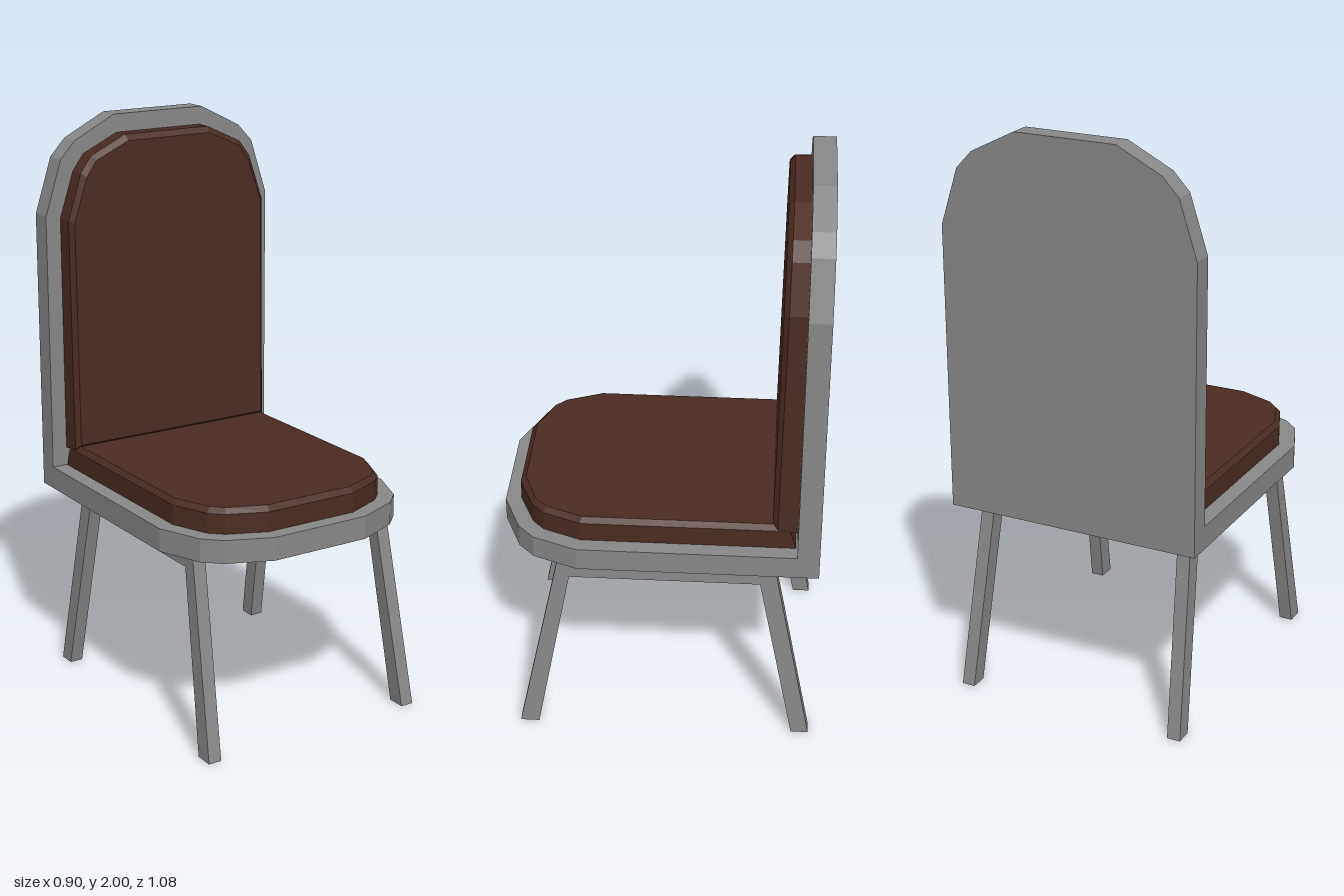
import * as THREE from 'three';

const metal = new THREE.MeshStandardMaterial({ color: 0x888888 });
metal.name = 'grey frame';
const leather = new THREE.MeshStandardMaterial({ color: 0x4a2c22 });
leather.name = 'brown upholstery';

// Symmetric outline: straight base at v0, then the right-hand points mirrored to the left
function outline(v0, right, depth) {
  const half = [[right[0][0], v0], ...right];
  const left = half.map(([x, v]) => [-x, v]).reverse();
  return [...half, ...left].map(([x, v]) => [x, v, typeof depth === 'function' ? depth(v) : depth]);
}

// Convex loops joined by side walls and closed by end caps; flat lays the panel down
function loft(loops, flat) {
  const n = loops[0].length;
  const p = loops.flat().map(([x, v, w]) => (flat ? [x, w, v] : [x, v, w]));
  const pos = [];
  const tri = (a, b, c) => pos.push(...p[a], ...(flat ? [...p[c], ...p[b]] : [...p[b], ...p[c]]));
  for (let k = 0; k < loops.length - 1; k++) {
    for (let i = 0; i < n; i++) {
      const j = (i + 1) % n;
      const a = k * n + i, b = k * n + j;
      tri(a, b, b + n);
      tri(a, b + n, a + n);
    }
  }
  const top = (loops.length - 1) * n;
  for (let i = 1; i < n - 1; i++) {
    tri(0, i + 1, i);
    tri(top, top + i, top + i + 1);
  }
  const g = new THREE.BufferGeometry();
  g.setAttribute('position', new THREE.Float32BufferAttribute(pos, 3));
  g.computeVertexNormals();
  return g;
}

// U-shaped leg pair with a top rail, splayed sideways towards the floor
function legFrame(side) {
  const shape = new THREE.Shape([
    [0.34, 0.69], [-0.395, 0.69], [-0.53, 0], [-0.47, 0],
    [-0.345, 0.63], [0.3, 0.63], [0.42, 0], [0.485, 0],
  ].map(([z, y]) => new THREE.Vector2(z, y)));
  const g = new THREE.ExtrudeGeometry(shape, { depth: 0.047, bevelEnabled: false });
  g.rotateY(-Math.PI / 2);
  const pos = g.attributes.position;
  const edge = side > 0 ? 0.416 : -0.322;
  for (let i = 0; i < pos.count; i++) {
    pos.setX(i, pos.getX(i) + edge + side * (0.69 - pos.getY(i)) * 0.043);
  }
  g.computeVertexNormals();
  return g;
}

export function createModel() {
  const group = new THREE.Group();
  const add = (name, geometry, material) => {
    const mesh = new THREE.Mesh(geometry, material);
    mesh.name = name;
    group.add(mesh);
  };

  // Seat board
  const seatEdge = [[0.45, 0.27], [0.39, 0.42], [0.332, 0.476], [0.18, 0.54]];
  add('seatBoard', loft([0.69, 0.77].map((y) => outline(-0.54, seatEdge, y)), true), metal);

  // Back board
  const backEdge = [[0.45, 1.67], [0.388, 1.862], [0.332, 1.922], [0.178, 2]];
  add('backBoard', loft([-0.54, -0.465].map((z) => outline(0.69, backEdge, z)), false), metal);

  // Seat cushion with a bevelled upper edge
  const seatPad = [[0.395, 0.26], [0.342, 0.39], [0.3, 0.43], [0.168, 0.487]];
  const seatPadTop = [[0.38, 0.255], [0.328, 0.38], [0.29, 0.418], [0.163, 0.469]];
  add('seatCushion', loft([
    outline(-0.46, seatPad, 0.77),
    outline(-0.44, seatPad, 0.838),
    outline(-0.42, seatPadTop, 0.856),
  ], true), leather);

  // Back cushion, slightly thicker towards the seat
  const slope = (z) => (y) => z - (y - 0.85) * 0.012;
  const backPad = [[0.395, 1.66], [0.342, 1.82], [0.3, 1.875], [0.168, 1.937]];
  const backPadFront = [[0.38, 1.655], [0.328, 1.806], [0.29, 1.86], [0.163, 1.917]];
  add('backCushion', loft([
    outline(0.835, backPad, -0.465),
    outline(0.843, backPad, slope(-0.397)),
    outline(0.862, backPadFront, slope(-0.38)),
  ], false), leather);

  // Leg frames
  add('leftLegFrame', legFrame(1), metal);
  add('rightLegFrame', legFrame(-1), metal);

  return group;
}
